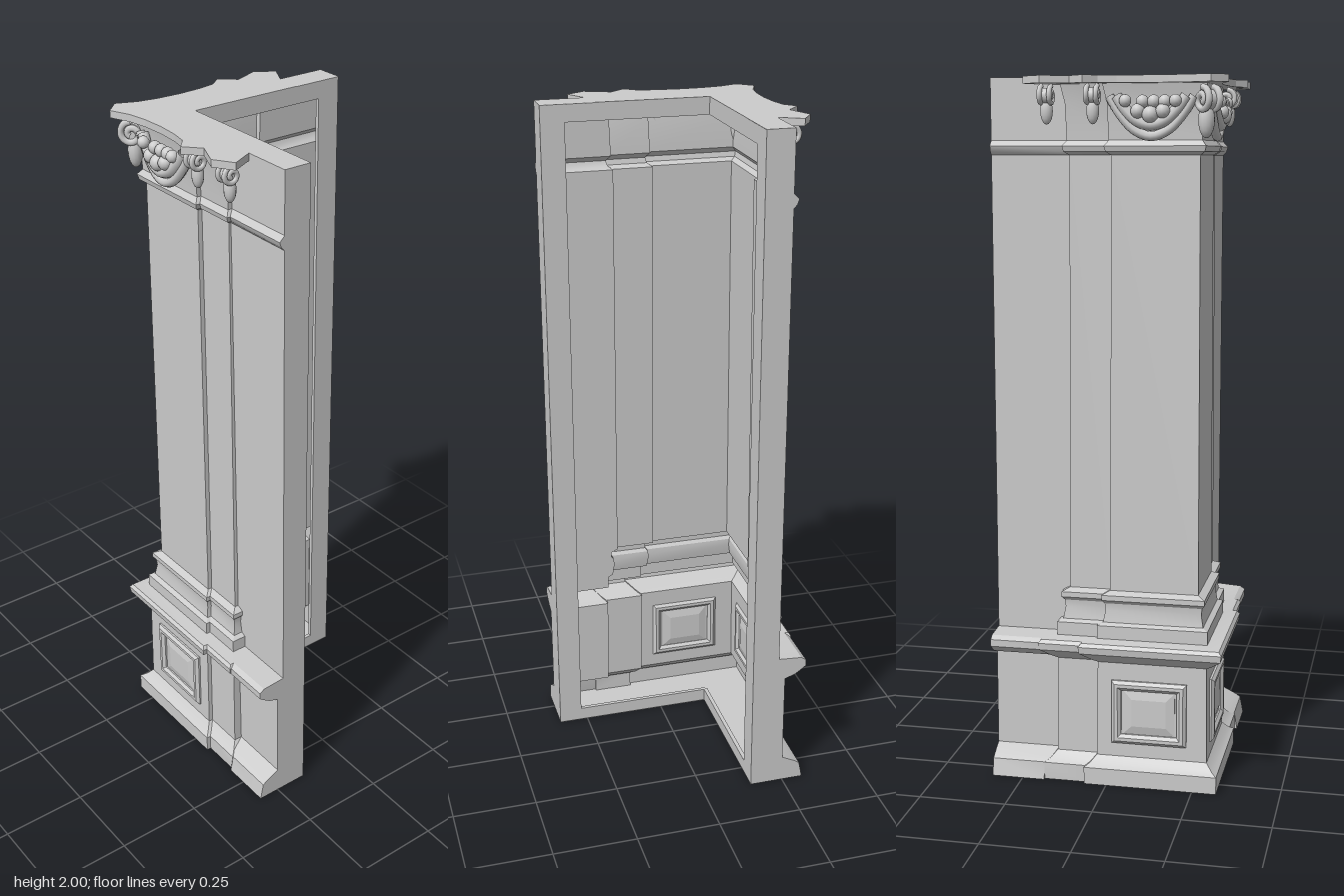
import * as THREE from 'three';
import { toCreasedNormals } from 'three/addons/utils/BufferGeometryUtils.js';

const END = 0.34, INNER = 0.15;
const material = new THREE.MeshStandardMaterial({ color: 0xcccccc, side: THREE.DoubleSide });

function mesh(geometry, name, x = 0, y = 0, z = 0) {
  const m = new THREE.Mesh(geometry, material);
  m.name = name;
  m.position.set(x, y, z);
  return m;
}

// reflection across the corner's diagonal
const reflect = ([x, z]) => [-z, -x];

// adds the part to the front arm and its twin to the side arm
function addToBothArms(root, make, x, y, z) {
  const front = make();
  front.position.set(x, y, z);
  const side = make();
  side.position.set(-z, y, -x);
  side.rotation.y = -Math.PI / 2;
  root.add(front, side);
}

// plan of the stepped pilaster: panel, half-pilaster, pilaster, corner, then reflected
function plan(d, panel) {
  const x = d - 0.255, step = d - 0.013;
  const half = [[END, INNER], [END, panel], [x + 0.12, panel], [x + 0.12, step], [x, step], [x, d]];
  return [...half, [-d, d], ...half.slice().reverse().map(reflect)];
}

// [height, pilaster face, panel face]
const LEVELS = [
  [0, 0.32, 0.315], [0.05, 0.32, 0.305], [0.06, 0.305, 0.29], [0.08, 0.288, 0.25],
  [0.36, 0.285, 0.25], [0.37, 0.3, 0.28], [0.38, 0.312, 0.295], [0.395, 0.33, 0.315],
  [0.415, 0.333, 0.315], [0.425, 0.325, 0.3], [0.43, 0.287, 0.23], [0.468, 0.287, 0.23],
  [0.475, 0.272, 0.23], [0.51, 0.266, 0.23], [0.53, 0.268, 0.23], [0.54, 0.276, 0.23],
  [0.555, 0.276, 0.23], [0.565, 0.255, 0.23], [1.79, 0.25, 0.23], [1.8, 0.264, 0.24],
  [1.815, 0.268, 0.245], [1.83, 0.256, 0.23], [1.93, 0.26, 0.23], [2, 0.275, 0.23],
];

function shellGeometry() {
  const position = [], index = [];
  LEVELS.forEach(([y, d, panel], j) => {
    const ring = plan(d, panel), n = ring.length;
    ring.forEach(([x, z], i) => {
      position.push(x, y, z);
      if (j === 0 || i === n - 1) return;
      const c = j * n + i, a = c - n;
      index.push(a, c, c + 1, a, c + 1, a + 1);
    });
  });
  const g = new THREE.BufferGeometry();
  g.setAttribute('position', new THREE.Float32BufferAttribute(position, 3));
  g.setIndex(index);
  return toCreasedNormals(g, 0.5);
}

// flat L-shaped end, facing up (+1) or down (-1)
function capGeometry([, d, panel], up) {
  const points = [...plan(d, panel), [-INNER, INNER]];
  const shape = new THREE.Shape(points.map(([x, z]) => new THREE.Vector2(x, -up * z)));
  return new THREE.ShapeGeometry(shape).rotateX(-up * Math.PI / 2);
}

// thin top slab with pointed horns and hollow sides
function abacusGeometry() {
  const half = [[0.19, 0.22], [0.23, 0.295], [0.175, 0.33], [0.1, 0.298], [0.055, 0.338]];
  const curve = [[0.02, 0.308], [-0.03, 0.298], [-0.1, 0.293], [-0.17, 0.296], [-0.23, 0.306], [-0.288, 0.33]];
  const front = [[0.19, INNER], ...half, ...curve];
  const outline = [...front, ...front.slice().reverse().map(reflect), [-INNER, INNER]];
  const shape = new THREE.Shape(outline.map(([x, z]) => new THREE.Vector2(x, -z)));
  return new THREE.ExtrudeGeometry(shape, { depth: 0.02, bevelEnabled: false }).rotateX(-Math.PI / 2);
}

function rectangle(path, w, h) {
  path.moveTo(-w / 2, -h / 2);
  path.lineTo(w / 2, -h / 2);
  path.lineTo(w / 2, h / 2);
  path.lineTo(-w / 2, h / 2);
  path.closePath();
  return path;
}

// picture-frame moulding with a raised field
function pedestalPanel() {
  const group = new THREE.Group();
  group.name = 'pedestalPanel';
  const frame = rectangle(new THREE.Shape(), 0.2, 0.17);
  frame.holes.push(rectangle(new THREE.Path(), 0.18, 0.15));
  const bevel = { bevelEnabled: true, bevelSegments: 1, bevelSize: 0.009, bevelThickness: 0.008 };
  group.add(mesh(new THREE.ExtrudeGeometry(frame, { depth: 0.006, ...bevel }), 'panelFrame'));
  const field = rectangle(new THREE.Shape(), 0.1, 0.08);
  group.add(mesh(new THREE.ExtrudeGeometry(field, {
    depth: 0.002, bevelEnabled: true, bevelSegments: 1, bevelSize: 0.025, bevelThickness: 0.006,
  }), 'panelField'));
  return group;
}

// rolled scroll with a hanging leaf
function volute(size) {
  const group = new THREE.Group();
  group.name = 'volute';
  const spiral = [];
  for (let i = 0; i <= 18; i++) {
    const a = Math.PI / 2 - i * 0.5, r = 0.032 - i * 0.0014;
    spiral.push(new THREE.Vector3(0, 0.035 + r * Math.sin(a), r * Math.cos(a)));
  }
  const curve = new THREE.CatmullRomCurve3(spiral);
  for (const x of [-0.017, 0.017]) group.add(mesh(new THREE.TubeGeometry(curve, 40, 0.009, 7), 'scrollEdge', x));
  group.add(mesh(new THREE.CylinderGeometry(0.026, 0.026, 0.034, 16).rotateZ(Math.PI / 2), 'scrollRoll', 0, 0.035, 0));
  const leaf = mesh(new THREE.SphereGeometry(1, 14, 10), 'hangingLeaf', 0, -0.015, -0.005);
  leaf.scale.set(0.022, 0.045, 0.02);
  group.add(leaf);
  group.scale.setScalar(size);
  return group;
}

// bowl-shaped swag filled with fruit
function garland() {
  const group = new THREE.Group();
  group.name = 'garland';
  const sag = (w, drop, z) => new THREE.CatmullRomCurve3([-1, -0.75, -0.4, 0, 0.4, 0.75, 1].map(
    t => new THREE.Vector3(t * w, 0.05 - drop * (1 - t * t), z * (1 - 0.5 * t * t))));
  group.add(mesh(new THREE.TubeGeometry(sag(0.115, 0.105, 0.012), 24, 0.013, 8), 'swagRim'));
  group.add(mesh(new THREE.TubeGeometry(sag(0.095, 0.075, 0.02), 24, 0.016, 8), 'swagBand'));
  for (let i = -2; i <= 2; i++) {
    const r = 0.023 - Math.abs(i) * 0.003;
    group.add(mesh(new THREE.SphereGeometry(r, 12, 9), 'fruit', i * 0.034, 0.002 + i * i * 0.009, 0.028));
    if (i > -2 && i < 2) group.add(mesh(new THREE.SphereGeometry(0.018, 12, 9), 'fruit', i * 0.03 + 0.008, 0.036, 0.022));
  }
  return group;
}

export function createModel() {
  const root = new THREE.Group();
  root.name = 'cornerPilaster';

  // hollow moulded body with its two ends
  root.add(mesh(shellGeometry(), 'pilasterShell'));
  root.add(mesh(capGeometry(LEVELS[0], -1), 'bottomCap'));
  const top = LEVELS[LEVELS.length - 1];
  root.add(mesh(capGeometry(top, 1), 'topCap', 0, top[0], 0));

  // open frame on the inner faces
  const bar = (w, h, name) => () => {
    const g = new THREE.Group();
    g.name = name;
    g.add(mesh(new THREE.BoxGeometry(w, h, 0.012), name + 'Bar'));
    return g;
  };
  const z = INNER + 0.006;
  addToBothArms(root, bar(0.07, 1.998, 'endFrame'), END - 0.035, 1, z);
  addToBothArms(root, bar(0.43, 0.05, 'topFrame'), 0.06, 1.974, z);
  addToBothArms(root, bar(0.43, 0.04, 'bottomFrame'), 0.06, 0.021, z);

  // pedestal panels
  addToBothArms(root, pedestalPanel, -0.12, 0.215, 0.286);

  // capital
  root.add(mesh(abacusGeometry(), 'abacus', 0, 1.98, 0));
  addToBothArms(root, garland, -0.12, 1.895, 0.265);
  addToBothArms(root, () => volute(0.8), 0.04, 1.92, 0.282);
  addToBothArms(root, () => volute(0.8), 0.17, 1.92, 0.275);
  const corner = volute(1.05);
  corner.position.set(-0.272, 1.898, 0.272);
  corner.rotation.y = -Math.PI / 4;
  root.add(corner);

  return root;
}
